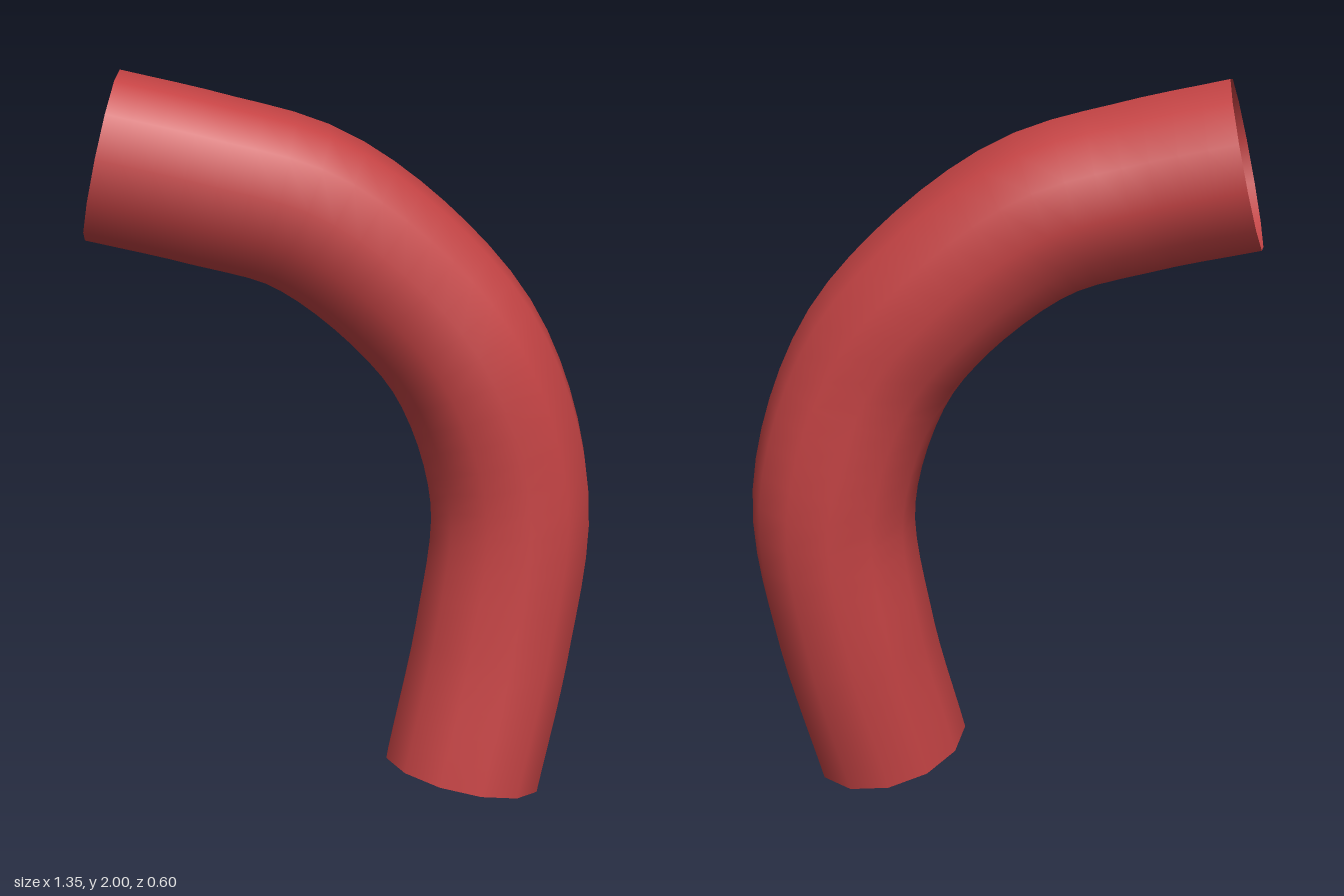
import * as THREE from 'three';

export function createModel() {
  const group = new THREE.Group();
  group.name = 'bentHose';

  const red = new THREE.MeshStandardMaterial({ color: 0xc44344, side: THREE.DoubleSide });
  red.name = 'red';

  // Centre line from the lower opening to the upper one
  const path = new THREE.CatmullRomCurve3([
    [0.315, 0.062, 0.08],
    [0.405, 0.45, 0.035],
    [0.45, 0.85, 0.01],
    [0.345, 1.21, 0.005],
    [0.185, 1.425, -0.015],
    [-0.09, 1.64, -0.03],
    [-0.36, 1.725, -0.045],
    [-0.622, 1.787, -0.08],
  ].map((p) => new THREE.Vector3(...p)), false, 'centripetal');

  // Open, hollow twelve-sided tube
  const hose = new THREE.Mesh(new THREE.TubeGeometry(path, 32, 0.222, 12, false), red);
  hose.name = 'hose';
  group.add(hose);

  return group;
}
